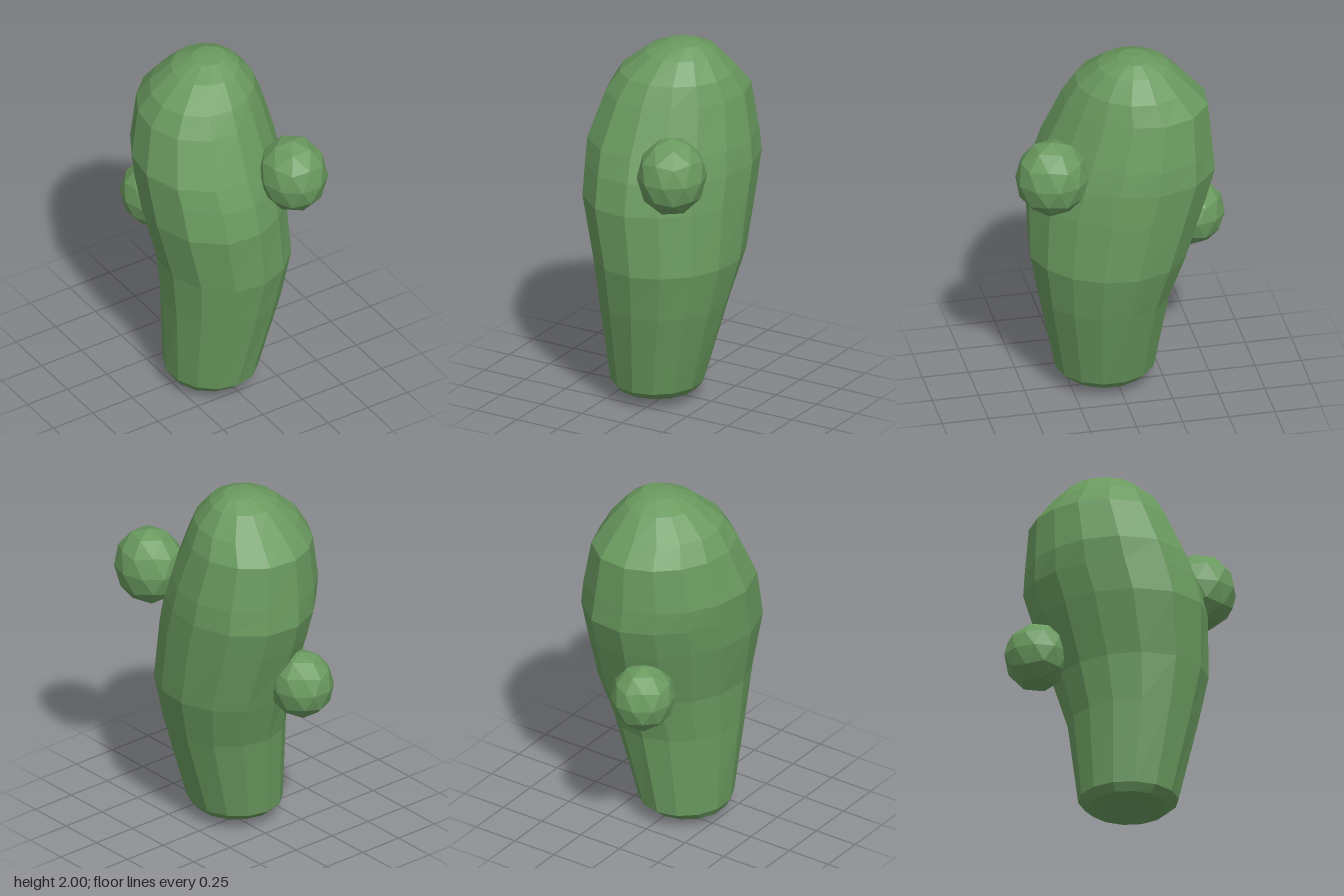
import * as THREE from 'three';

const SIDES = 14;

// Body cross-sections: height, xMin, xMax, zMin, zMax, diagonal skew
const RINGS = [
  [0.02, -0.17, 0.08, -0.09, 0.18, 0],
  [0.055, -0.265, 0.16, -0.16, 0.27, 0],
  [0.10, -0.29, 0.20, -0.21, 0.32, 0],
  [0.57, -0.32, 0.335, -0.27, 0.42, 0.04],
  [0.83, -0.34, 0.40, -0.35, 0.47, 0.06],
  [1.17, -0.41, 0.405, -0.455, 0.47, 0.09],
  [1.34, -0.42, 0.405, -0.505, 0.43, 0.09],
  [1.47, -0.43, 0.39, -0.495, 0.38, 0.09],
  [1.72, -0.365, 0.335, -0.475, 0.27, 0.08],
  [1.83, -0.30, 0.285, -0.38, 0.21, 0.06],
  [1.94, -0.17, 0.20, -0.275, 0.10, 0.03],
  [1.99, -0.06, 0.13, -0.17, 0.0, 0],
];

// Loft closed at both ends, each ring an ellipse stretched along one diagonal
function bodyGeometry() {
  const points = [];
  const index = [];
  for (const [y, x0, x1, z0, z1, skew] of RINGS) {
    for (let i = 0; i < SIDES; i++) {
      const a = (i + 0.5) / SIDES * Math.PI * 2;
      const r = 1.01 - skew * Math.sin(2 * a);
      points.push(
        (x0 + x1) / 2 + (x1 - x0) / 2 * r * Math.cos(a),
        y,
        (z0 + z1) / 2 + (z1 - z0) / 2 * r * Math.sin(a));
    }
  }
  for (let j = 0; j < RINGS.length - 1; j++) {
    for (let i = 0; i < SIDES; i++) {
      const a = j * SIDES + i;
      const b = j * SIDES + (i + 1) % SIDES;
      index.push(a, a + SIDES, b, b, a + SIDES, b + SIDES);
    }
  }
  // End caps
  const bottom = points.length / 3;
  const last = (RINGS.length - 1) * SIDES;
  points.push(-0.05, 0, 0.05, 0.04, 2, -0.09);
  for (let i = 0; i < SIDES; i++) {
    const n = (i + 1) % SIDES;
    index.push(bottom, i, n, bottom + 1, last + n, last + i);
  }
  const indexed = new THREE.BufferGeometry();
  indexed.setAttribute('position', new THREE.Float32BufferAttribute(points, 3));
  indexed.setIndex(index);
  const geometry = indexed.toNonIndexed();
  geometry.computeVertexNormals();
  return geometry;
}

// Faceted ball with one vertex pointing straight up
function makeBud(name, material, centre, radii) {
  const geometry = new THREE.IcosahedronGeometry(1, 1);
  geometry.rotateZ(-Math.atan(2 / (1 + Math.sqrt(5))));
  geometry.rotateY(Math.PI / 2);
  geometry.scale(...radii);
  const bud = new THREE.Mesh(geometry, material);
  bud.name = name;
  bud.position.set(...centre);
  return bud;
}

export function createModel() {
  const group = new THREE.Group();
  group.name = 'cactus';
  const green = new THREE.MeshStandardMaterial({ color: 0x6a9a5f, flatShading: true });

  const body = new THREE.Mesh(bodyGeometry(), green);
  body.name = 'body';
  group.add(body);

  group.add(makeBud('frontBud', green, [0.25, 1.435, 0.405], [0.183, 0.215, 0.197]));
  group.add(makeBud('backBud', green, [-0.1, 0.935, -0.425], [0.17, 0.188, 0.18]));
  return group;
}
